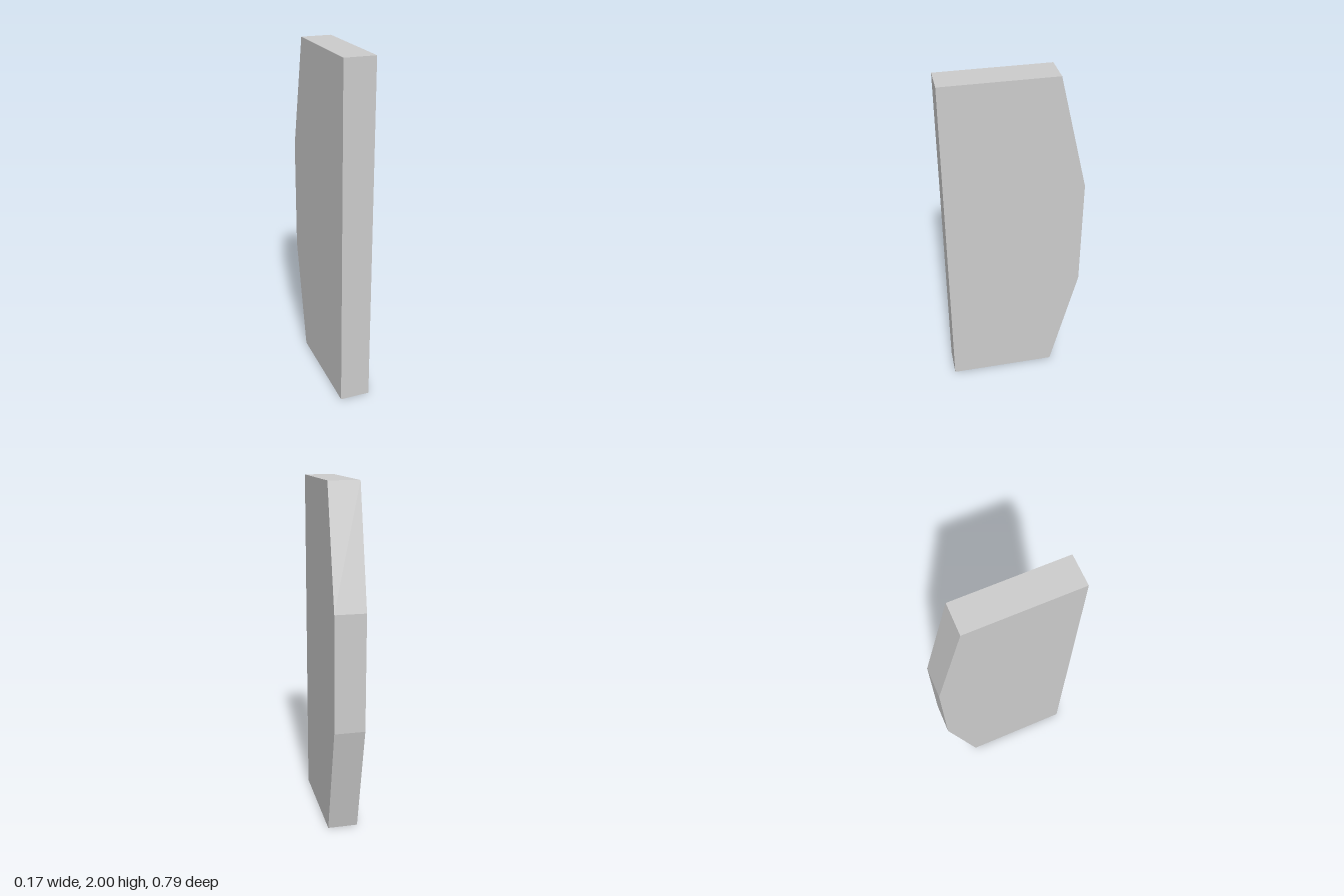
import * as THREE from 'three';

const WIDTH = 0.175;

export function createModel() {
  const group = new THREE.Group();
  group.name = 'panel';

  // Side profile as (-z, y): straight front edge, back edge tapering to both ends
  const profile = new THREE.Shape([
    [-0.395, 0], [0.235, 0], [0.395, 0.667],
    [0.395, 1.333], [0.235, 2], [-0.395, 2],
  ].map(([x, y]) => new THREE.Vector2(x, y)));

  // Extrude across the thickness, then turn the profile into the yz plane
  const geometry = new THREE.ExtrudeGeometry(profile, { depth: WIDTH, bevelEnabled: false });
  geometry.translate(0, 0, -WIDTH / 2);
  geometry.rotateY(Math.PI / 2);

  const slab = new THREE.Mesh(
    geometry,
    new THREE.MeshStandardMaterial({ color: 0xcccccc, flatShading: true }),
  );
  slab.name = 'taperedSlab';
  group.add(slab);
  return group;
}
